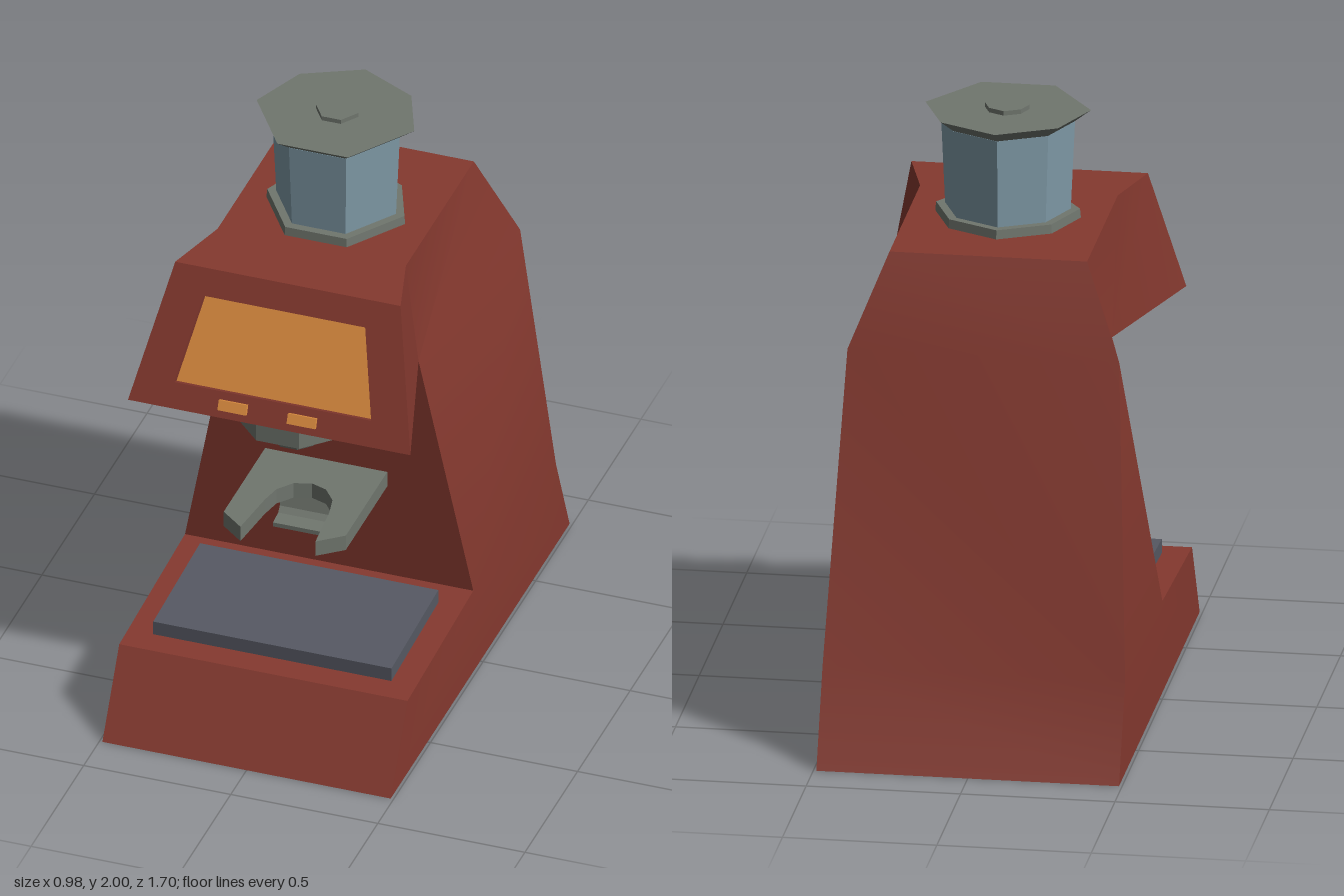
import * as THREE from 'three';
import { toCreasedNormals } from 'three/addons/utils/BufferGeometryUtils.js';

const mat = (name, color, open) => {
  const m = new THREE.MeshStandardMaterial({ color });
  m.name = name;
  if (open) m.side = THREE.DoubleSide;
  return m;
};

// Collects flat polygons (corners anticlockwise from outside) into one geometry.
class Faces {
  constructor() { this.pos = []; }
  poly(...p) {
    for (let i = 1; i < p.length - 1; i++) this.pos.push(...p[0], ...p[i], ...p[i + 1]);
  }
  ring(outer, inner) {
    outer.forEach((o, i) => {
      const j = (i + 1) % outer.length;
      this.poly(o, outer[j], inner[j], inner[i]);
    });
  }
  geometry() {
    const g = new THREE.BufferGeometry();
    g.setAttribute('position', new THREE.Float32BufferAttribute(this.pos, 3));
    g.computeVertexNormals();
    return g;
  }
}
const flip = ([x, y, z]) => [-x, y, z];
const across = (p, q) => [p, q, flip(q), flip(p)];

export function createModel() {
  const red = mat('red enamel', 0x85392f, true);
  const orange = mat('orange panel', 0xe08f40, true);
  const metal = mat('grey metal', 0x70766e);
  const slate = mat('slate tray', 0x565963, true);
  const glass = mat('blue glass', 0x7f9aa7);

  const model = new THREE.Group();
  const add = (name, geometry, material) => {
    const mesh = new THREE.Mesh(geometry, material);
    mesh.name = name;
    model.add(mesh);
    return mesh;
  };

  // Body corners on the +x side
  const baseFront = [0.49, 0, 0.85], baseBack = [0.49, 0, -0.85];
  const deckFront = [0.49, 0.275, 0.69], deckBack = [0.49, 0.31, 0.065];
  const neck = [0.32, 1.18, 0.11], lip = [0.48, 1.18, 0.635];
  const brow = [0.383, 1.62, 0.457], topMid = [0.32, 1.62, 0.23], topBack = [0.32, 1.62, -0.415];
  const shoulder = [0.44, 1.32, -0.52], hip = [0.49, 0.31, -0.72];

  // Points on the sloping hood front, sunk by a depth
  const onHood = (x, y, d = 0) => [x, y - 0.375 * d, 0.635 - 0.4045 * (y - 1.18) - 0.927 * d];
  const windowAt = d => across(onHood(0.335, 1.26, d), onHood(0.275, 1.535, d));
  // Points on the deck, raised by a height
  const onDeck = (x, z, h = 0) => [x, 0.31 - 0.056 * (z - 0.065) + h, z];
  const trayAt = h => across(onDeck(0.405, 0.605, h), onDeck(0.405, 0.16, h));

  // Hollow body shell, open underneath
  const body = new Faces();
  const sidePanels = [
    [deckBack, deckFront, baseFront], [deckBack, baseFront, baseBack], [deckBack, baseBack, hip],
    [deckBack, hip, shoulder], [deckBack, shoulder, neck], [neck, shoulder, topBack],
    [neck, topBack, topMid], [neck, topMid, brow], [neck, brow, lip],
  ];
  for (const p of sidePanels) {
    body.poly(...p);
    body.poly(...p.map(flip).reverse());
  }
  const spans = [
    [baseFront, deckFront], [deckBack, neck], [brow, topMid], [topMid, topBack],
    [topBack, shoulder], [shoulder, hip], [hip, baseBack],
  ];
  for (const [p, q] of spans) body.poly(...across(p, q));
  body.ring(across(deckFront, deckBack), trayAt(0));
  body.ring(across(lip, brow), windowAt(0));
  body.ring(windowAt(0), windowAt(0.025));
  add('body', toCreasedNormals(body.geometry(), 0.5), red);

  // Display panel and buttons
  const display = new Faces();
  display.poly(...windowAt(0.025));
  add('displayPanel', display.geometry(), orange);
  for (const x of [-0.127, 0.108]) {
    const button = add('button', new THREE.BoxGeometry(0.096, 0.034, 0.02), orange);
    button.position.set(...onHood(x, 1.22, -0.004));
    button.rotation.x = -0.385;
  }

  // Drip tray, open underneath
  const tray = new Faces();
  tray.ring(trayAt(0), trayAt(0.048));
  tray.poly(...trayAt(0.048));
  add('dripTray', tray.geometry(), slate);

  // Brew head and nozzle
  const drum = (name, top, bottom, y0, y1) => {
    const g = new THREE.CylinderGeometry(top, bottom, y1 - y0, 8).rotateY(Math.PI / 8);
    add(name, toCreasedNormals(g, 0.3), metal).position.set(0, (y0 + y1) / 2, 0.38);
  };
  drum('brewHead', 0.19, 0.19, 1.065, 1.28);
  drum('nozzle', 0.113, 0.075, 0.985, 1.066);

  // Fork with a rounded mouth open to the front
  const fork = new THREE.Shape();
  fork.moveTo(-0.21, 0.08);
  for (const [x, z] of [[0.205, 0.08], [0.205, 0.48], [0.125, 0.545]]) fork.lineTo(x, z);
  for (let i = 0; i <= 6; i++) {
    const a = (i / 6) * Math.PI;
    fork.lineTo(0.11 * Math.cos(a), 0.37 - 0.14 * Math.sin(a));
  }
  fork.lineTo(-0.13, 0.545);
  fork.lineTo(-0.21, 0.48);
  const forkGeometry = new THREE.ExtrudeGeometry(fork, { depth: 0.055, bevelEnabled: false });
  add('fork', forkGeometry.rotateX(Math.PI / 2), metal).position.y = 0.715;

  // Bracket under the fork, drawn in side profile
  const profile = [[0.12, 0.57], [0.3, 0.57], [0.3, 0.585], [0.25, 0.592], [0.235, 0.61], [0.222, 0.665], [0.12, 0.665]];
  const bracket = new THREE.Shape(profile.map(([z, y]) => new THREE.Vector2(-z, y)));
  const bracketGeometry = new THREE.ExtrudeGeometry(bracket, { depth: 0.21, bevelEnabled: false });
  add('forkBracket', bracketGeometry.rotateY(Math.PI / 2), metal).position.x = -0.107;

  // Seven-sided hopper sections
  const half = [[0.12, 0.242], [0.268, 0.025], [0.19, -0.165]];
  const outline = [...half, [0, -0.26], ...half.map(([x, z]) => [-x, z]).reverse()];
  const section = (name, material, y0, s0, y1, s1) => {
    const loop = (y, s) => outline.map(([x, z]) => [x * s, y, z * s - 0.02]);
    const f = new Faces();
    f.ring(loop(y0, s0), loop(y1, s1));
    f.poly(...loop(y1, s1));
    f.poly(...loop(y0, s0).reverse());
    add(name, f.geometry(), material);
  };
  section('hopperCollar', metal, 1.62, 0.88, 1.65, 0.87);
  section('hopperGlass', glass, 1.65, 0.76, 1.946, 0.81);
  section('hopperLid', metal, 1.945, 0.8, 1.985, 1);
  section('lidKnob', metal, 1.985, 0.27, 2, 0.27);

  return model;
}
